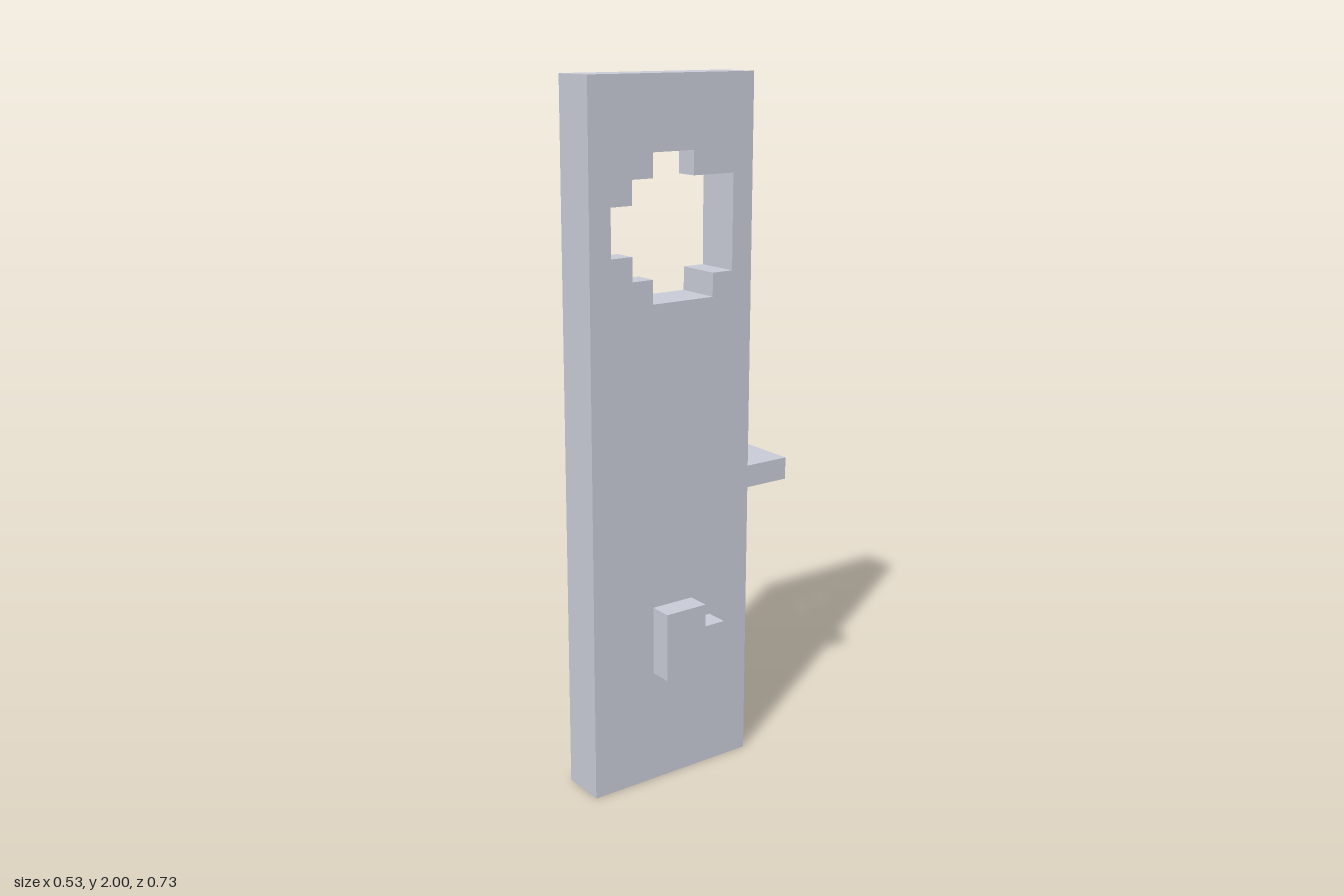
import * as THREE from 'three';

const U = 1 / 15; // one grid cell
const grey = new THREE.MeshStandardMaterial({ color: 0xc8ccd7 });
grey.name = 'grey';

// Outline given as [z, y] corners in cells, extruded along +x from x0
function slab(name, outline, hole, x0, depth) {
  // Reversed so that the mirrored z axis keeps the corners counter-clockwise
  const points = (list) => list.map(([z, y]) => new THREE.Vector2(-z * U, y * U)).reverse();
  const shape = new THREE.Shape(points(outline));
  if (hole) shape.holes.push(new THREE.Path(points(hole)));
  const geometry = new THREE.ExtrudeGeometry(shape, { depth: depth * U, bevelEnabled: false });
  geometry.rotateY(Math.PI / 2);
  geometry.translate(x0 * U, 0, 0);
  const mesh = new THREE.Mesh(geometry, grey);
  mesh.name = name;
  return mesh;
}

export function createModel() {
  const model = new THREE.Group();
  model.name = 'doorPlate';

  // Upright panel in two layers, each with its own stepped opening
  const panel = [[-2.5, 0], [5.5, 0], [5.5, 30], [-2.5, 30]];
  const innerHole = [
    [-0.5, 21], [3.5, 21], [3.5, 22], [4.5, 22], [4.5, 26], [3.5, 26],
    [3.5, 27], [-0.5, 27], [-0.5, 26], [-1.5, 26], [-1.5, 22], [-0.5, 22],
  ];
  const outerHole = [
    [-0.5, 21], [2.5, 21], [2.5, 22], [3.5, 22], [3.5, 23], [4.5, 23], [4.5, 25],
    [3.5, 25], [3.5, 26], [2.5, 26], [2.5, 27], [0.5, 27], [0.5, 26],
    [-1.5, 26], [-1.5, 22], [-0.5, 22],
  ];
  model.add(slab('innerPanel', panel, innerHole, 1, 1));
  model.add(slab('outerPanel', panel, outerHole, 2, 1));

  // Raised latch with a short tab towards the back
  const latch = [
    [0.5, 5], [2.5, 5], [2.5, 8], [0.5, 8], [0.5, 7], [-0.5, 7], [-0.5, 6], [0.5, 6],
  ];
  model.add(slab('latch', latch, null, 3, 1));

  // Flat shelf set into the rear edge
  const shelf = new THREE.Mesh(new THREE.BoxGeometry(6 * U, U, 4 * U), grey);
  shelf.name = 'shelf';
  shelf.position.set(-U, 12.5 * U, -3.5 * U);
  model.add(shelf);

  return model;
}
